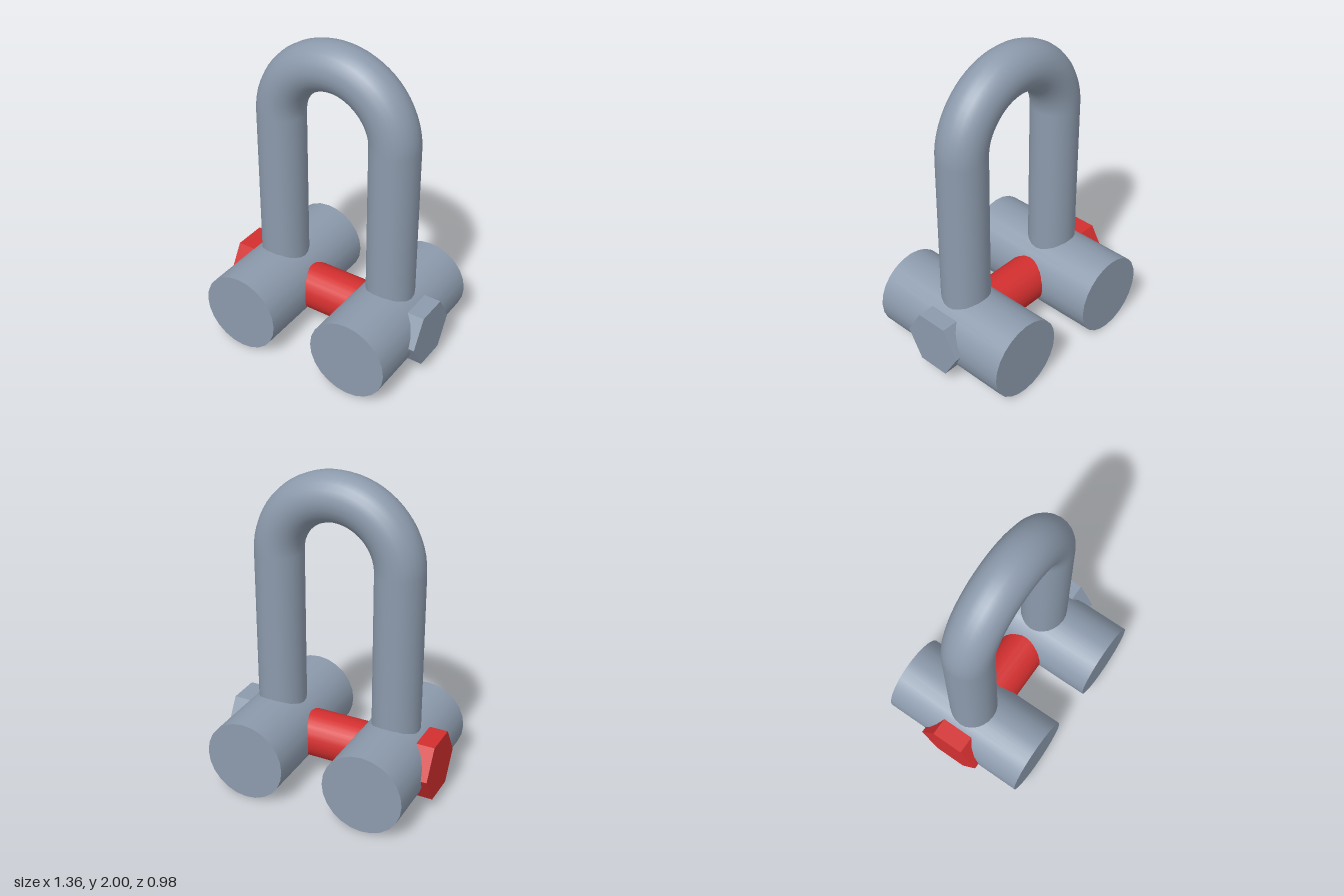
import * as THREE from 'three';

const SIDES = 24;
const LEG_X = 0.39;   // leg centre line, also the bend radius
const ROD_R = 0.15;   // bow and pin radius
const EYE_R = 0.255;
const AXIS_Y = 0.257; // height of the pin axis
const BEND_Y = 1.46;  // where the legs meet the bend

export function createModel() {
  const steel = new THREE.MeshStandardMaterial({ color: 0x8c9aac });
  steel.name = 'steel grey';
  const red = new THREE.MeshStandardMaterial({ color: 0xd32f2f });
  red.name = 'pin red';

  const model = new THREE.Group();
  model.name = 'shackle';

  const add = (name, geometry, material, x, y, parent = model) => {
    const mesh = new THREE.Mesh(geometry, material);
    mesh.name = name;
    mesh.position.set(x, y, 0);
    parent.add(mesh);
    return mesh;
  };

  // Hexagonal prism along x, with crisp faces
  const hexagon = (radius, length) => {
    const g = new THREE.CylinderGeometry(radius, radius, length, 6).rotateZ(Math.PI / 2).toNonIndexed();
    g.computeVertexNormals();
    return g;
  };

  // U-shaped bow: half a torus on two straight legs
  const bow = new THREE.Group();
  bow.name = 'bow';
  model.add(bow);
  add('bend', new THREE.TorusGeometry(LEG_X, ROD_R, SIDES, 32, Math.PI), steel, 0, BEND_Y, bow);

  for (const [side, sign] of [['left', 1], ['right', -1]]) {
    const legLength = BEND_Y - AXIS_Y;
    add(side + 'Leg', new THREE.CylinderGeometry(ROD_R, ROD_R, legLength, SIDES, 1, true),
      steel, sign * LEG_X, AXIS_Y + legLength / 2, bow);

    // Cross barrel forming the eye at the foot of each leg
    add(side + 'Eye', new THREE.CylinderGeometry(EYE_R, EYE_R, 0.976, SIDES).rotateX(Math.PI / 2),
      steel, sign * LEG_X, AXIS_Y);
  }

  // Bolt through both eyes, with its head on the right and a nut on the left
  const bolt = new THREE.Group();
  bolt.name = 'bolt';
  model.add(bolt);
  add('pin', new THREE.CylinderGeometry(ROD_R, ROD_R, 1.1, SIDES).rotateZ(Math.PI / 2), red, 0, AXIS_Y + 0.002, bolt);
  add('boltHead', hexagon(0.21, 0.18), red, -0.592, AXIS_Y + 0.002, bolt);
  add('nut', hexagon(0.202, 0.18), steel, 0.592, AXIS_Y + 0.002, bolt);

  return model;
}
